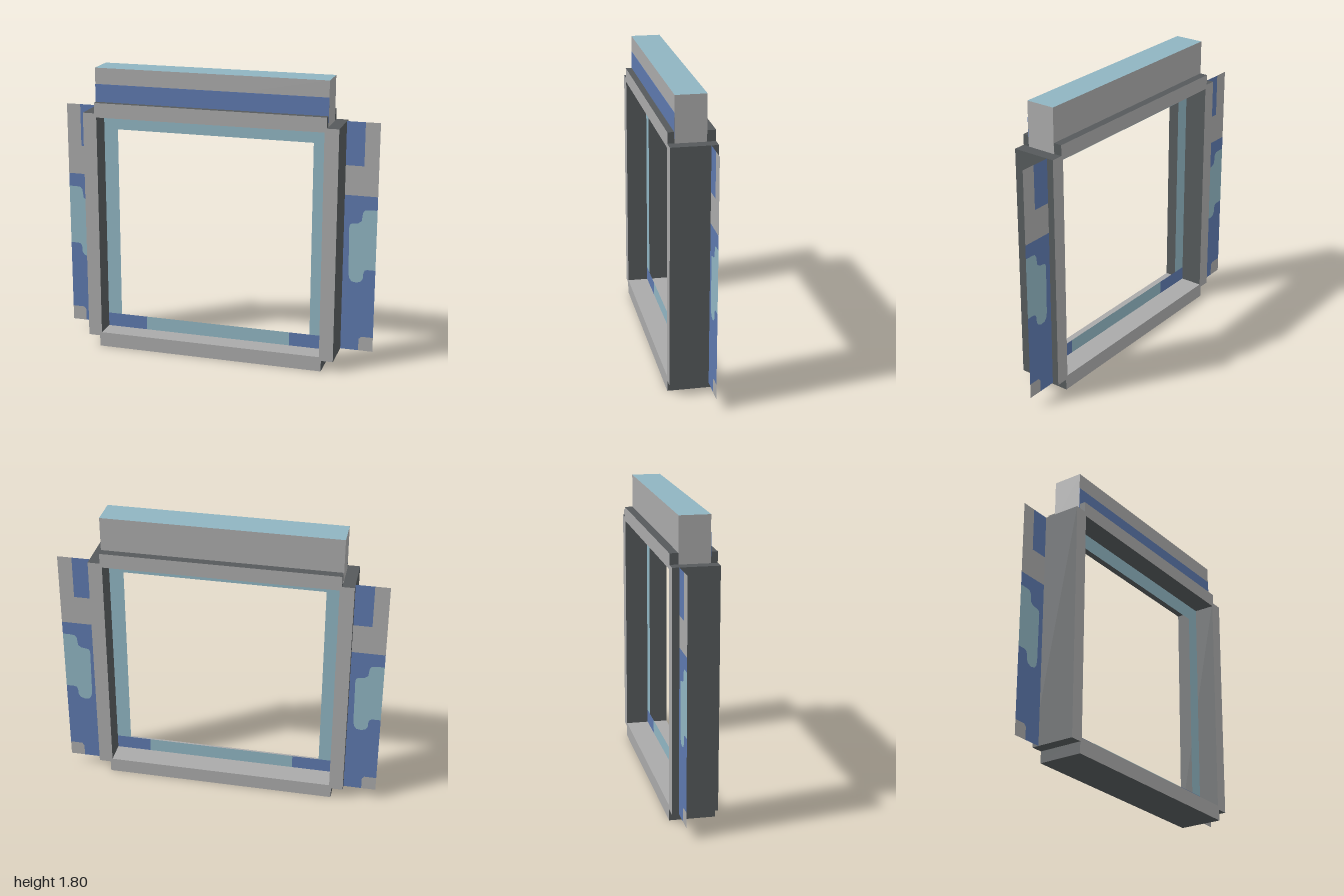
import * as THREE from 'three';

export function createModel() {
  const model = new THREE.Group();
  const paint = (name, color, side = THREE.FrontSide) => {
    const m = new THREE.MeshStandardMaterial({ color, side });
    m.name = name;
    return m;
  };
  const grey = paint('light grey', 0xa9a9a9, THREE.DoubleSide);
  const dark = paint('dark grey', 0x55595b);
  const blue = paint('blue', 0x5d78ad, THREE.DoubleSide);
  const pale = paint('pale blue', 0x8fb4c1, THREE.DoubleSide);

  // Box given by its limits; materials in order +x -x +y -y +z -z
  const box = (name, [x0, x1], [y0, y1], [z0, z1], mats) => {
    const mesh = new THREE.Mesh(new THREE.BoxGeometry(x1 - x0, y1 - y0, z1 - z0), mats);
    mesh.position.set((x0 + x1) / 2, (y0 + y1) / 2, (z0 + z1) / 2);
    mesh.name = name;
    model.add(mesh);
  };
  // Flat face visible from both sides
  const face = (name, points, z, mat, side = 1) => {
    const shape = new THREE.Shape(points.map(([x, y]) => new THREE.Vector2(x * side, y)));
    const mesh = new THREE.Mesh(new THREE.ShapeGeometry(shape), mat);
    mesh.position.z = z;
    mesh.name = name;
    model.add(mesh);
  };
  const rect = (x0, x1, y0, y1) => [[x0, y0], [x1, y0], [x1, y1], [x0, y1]];

  // Outer frame: light faces front and back, dark edges
  const depth = [-0.137, 0.137];
  const edged = [dark, dark, dark, dark, grey, grey];
  box('rightPost', [-0.797, -0.71], [0.07, 1.525], depth, edged);
  box('leftPost', [0.71, 0.797], [0.07, 1.525], depth, edged);
  box('topRail', [-0.723, 0.723], [1.5, 1.59], depth, edged);
  box('bottomRail', [-0.723, 0.723], [0, 0.093], depth, [dark, dark, grey, dark, grey, grey]);

  // Header block with a pale top and a stripe on its front
  box('header', [-0.726, 0.726], [1.525, 1.8], [-0.086, 0.097], [grey, grey, pale, grey, grey, grey]);
  box('headerStripe', [-0.726, 0.726], [1.55, 1.7], [0.097, 0.099], blue);

  // Thin inner border around the opening
  const mid = 0.006;
  face('borderTop', rect(-0.71, 0.71, 1.403, 1.5), mid, pale);
  face('borderRight', rect(-0.71, -0.62, 0.18, 1.403), mid, pale);
  face('borderLeft', rect(0.62, 0.71, 0.18, 1.403), mid, pale);
  face('borderBottom', rect(-0.45, 0.49, 0.093, 0.18), mid, pale);
  face('borderBottomRightCorner', rect(-0.71, -0.45, 0.093, 0.18), mid, blue);
  face('borderBottomLeftCorner', rect(0.49, 0.71, 0.093, 0.18), mid, blue);

  // Patterned side wings, mirrored
  const patch = [
    [1, 0.603], [0.95, 0.603], [0.934, 0.598], [0.926, 0.58], [0.924, 0.545], [0.912, 0.525],
    [0.885, 0.515], [0.855, 0.52], [0.84, 0.54], [0.834, 0.57], [0.83, 0.87], [0.837, 0.888],
    [0.85, 0.893], [0.885, 0.897], [0.905, 0.912], [0.912, 0.965], [0.925, 0.982], [0.95, 0.985], [1, 0.985],
  ];
  const corner = [[0.91, 0.07], [0.91, 0.145], [0.925, 0.162], [1, 0.162]];
  const wingZ = -0.095;
  for (const side of [1, -1]) {
    const label = side > 0 ? 'left' : 'right';
    face(label + 'WingBase', [[0.79, 0.07], ...corner, ...patch, [1, 1.07], [0.79, 1.07]], wingZ, blue, side);
    face(label + 'WingPatch', patch, wingZ, pale, side);
    face(label + 'WingCorner', [...corner, [1, 0.07]], wingZ, grey, side);
    face(label + 'WingTop',
      [[0.79, 1.07], [1, 1.07], [1, 1.525], [0.91, 1.525], [0.91, 1.255], [0.79, 1.255]], wingZ, grey, side);
    face(label + 'WingTopPanel', rect(0.79, 0.91, 1.255, 1.525), wingZ, blue, side);
  }
  return model;
}
